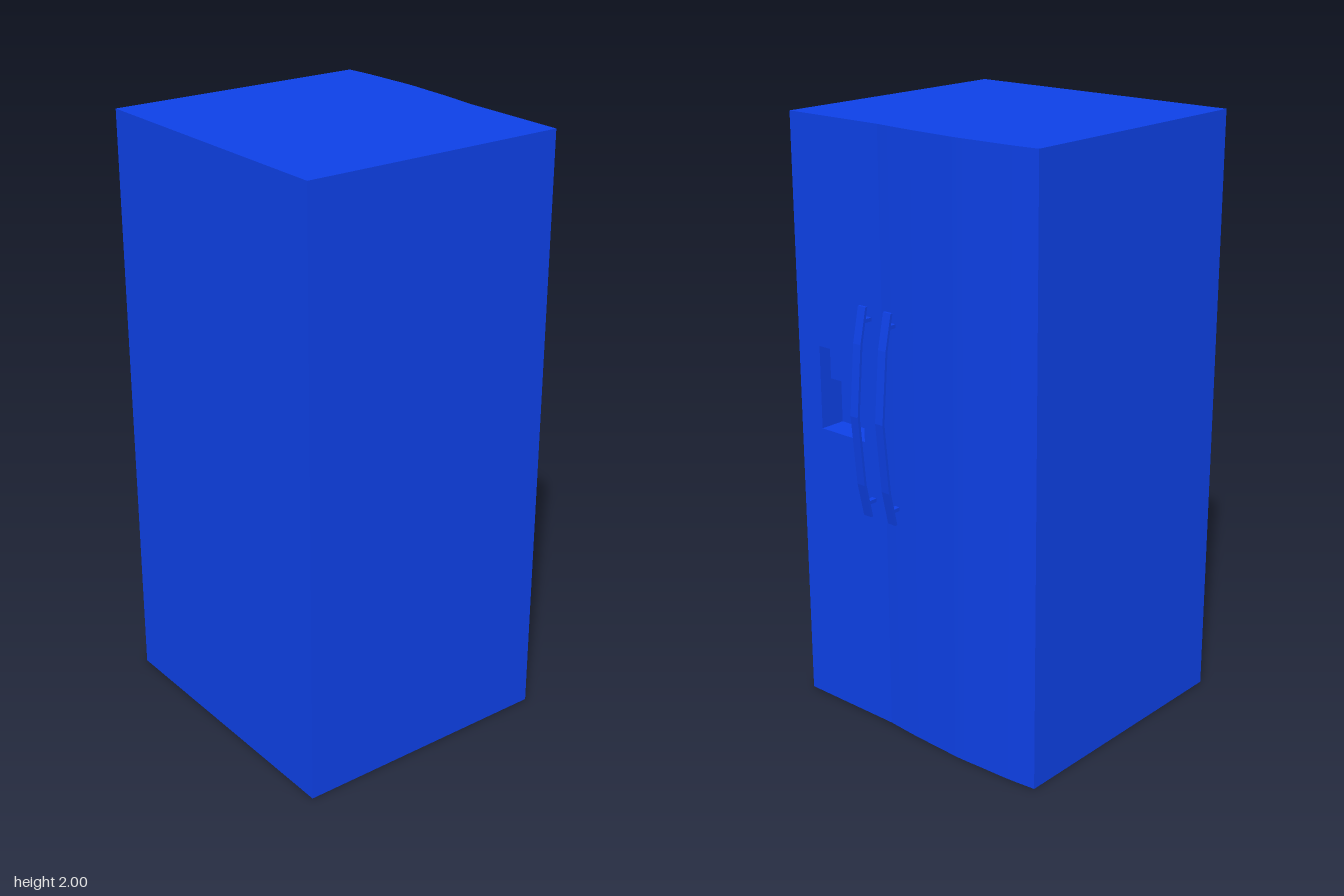
import * as THREE from 'three';

const material = new THREE.MeshStandardMaterial({ color: 0x0d40e6, side: THREE.DoubleSide });
const FRONT = -0.417, BACK = 0.493, HEIGHT = 2, SEAM = 0.12;

const v = (x, y, z) => new THREE.Vector3(x, y, z);

// Sweeps a path along a straight offset; smooth keeps shared normals.
function ribbon(path, offset, smooth = false) {
  const positions = [], index = [];
  path.forEach((p, i) => {
    positions.push(...p.toArray(), ...p.clone().add(offset).toArray());
    if (i > 0) {
      const a = 2 * (i - 1), b = 2 * i;
      index.push(a, b, b + 1, a, b + 1, a + 1);
    }
  });
  let geometry = new THREE.BufferGeometry();
  geometry.setAttribute('position', new THREE.Float32BufferAttribute(positions, 3));
  geometry.setIndex(index);
  if (!smooth) geometry = geometry.toNonIndexed();
  geometry.computeVertexNormals();
  return geometry;
}

const toShape = (pairs) => new THREE.Shape(pairs.map(([x, y]) => new THREE.Vector2(x, y)));

export function createModel() {
  const model = new THREE.Group();
  model.name = 'refrigerator';
  const add = (name, geometry, parent = model) => {
    const mesh = new THREE.Mesh(geometry, material);
    mesh.name = name;
    parent.add(mesh);
    return mesh;
  };

  // Gently bowed wide door, running from the seam to the outer corner
  const bow = new THREE.CatmullRomCurve3([
    [SEAM, FRONT], [0, -0.427], [-0.1, -0.431], [-0.2, -0.435],
    [-0.3, -0.431], [-0.4, -0.427], [-0.5, FRONT],
  ].map(([x, z]) => v(x, 0, z))).getPoints(18);
  const up = v(0, HEIGHT, 0);
  add('wideDoor', ribbon(bow, up, true));

  // Sides and back; the underside is left open
  add('cabinetWalls', ribbon(
    [v(-0.5, 0, FRONT), v(-0.5, 0, BACK), v(0.5, 0, BACK), v(0.5, 0, FRONT)], up));

  // Top follows the door curve
  const outline = [...bow.map((p) => [p.x, -p.z]), [-0.5, -BACK], [0.5, -BACK], [0.5, -FRONT]];
  add('top', new THREE.ShapeGeometry(toShape(outline)).rotateX(-Math.PI / 2).translate(0, HEIGHT, 0));

  // Flat narrow door with the dispenser opening (drawn mirrored, then turned to face -z)
  const X0 = 0.21, X1 = 0.405, Y0 = 0.98, Y1 = 1.26;
  const door = toShape([[-0.5, 0], [-SEAM, 0], [-SEAM, HEIGHT], [-0.5, HEIGHT]]);
  door.holes.push(toShape([[-X1, Y0], [-X1, Y1], [-X0, Y1], [-X0, Y0]]));
  add('narrowDoor', new THREE.ShapeGeometry(door).rotateY(Math.PI).translate(0, 0, FRONT));

  // Stepped recess: shallow control panel above a deeper niche
  const dispenser = new THREE.Group();
  dispenser.name = 'dispenser';
  model.add(dispenser);
  const panelZ = FRONT + 0.045, nicheZ = FRONT + 0.09, stepY = 1.14;
  const section = [[FRONT, Y1], [panelZ, Y1], [panelZ, stepY], [nicheZ, stepY], [nicheZ, Y0], [FRONT, Y0]];
  add('dispenserRecess', ribbon(section.map(([z, y]) => v(X1, y, z)), v(X0 - X1, 0, 0)), dispenser);
  for (const x of [X0, X1]) {
    const side = new THREE.ShapeGeometry(toShape(section.map(([z, y]) => [-z, y])));
    add('dispenserSide', side.rotateY(Math.PI / 2).translate(x, 0, 0), dispenser);
  }

  // Bowed strap handles on two posts each
  const arc = [[0.449, 0.745], [0.474, 0.86], [0.495, 1.093], [0.474, 1.325], [0.449, 1.44]];
  const strap = toShape([...arc, ...arc.map(([d, y]) => [d - 0.009, y]).reverse()]);
  const width = 0.032;
  for (const x of [0.066, 0.174]) {
    const handle = new THREE.Group();
    handle.name = 'handle';
    handle.position.x = x;
    model.add(handle);
    const bar = new THREE.ExtrudeGeometry(strap, { depth: width, bevelEnabled: false });
    add('handleBar', bar.rotateY(Math.PI / 2).translate(-width / 2, 0, 0), handle);
    for (const y of [0.792, 1.394]) {
      add('handlePost', new THREE.BoxGeometry(0.019, 0.012, 0.04), handle).position.set(0, y, -0.433);
    }
  }
  return model;
}
